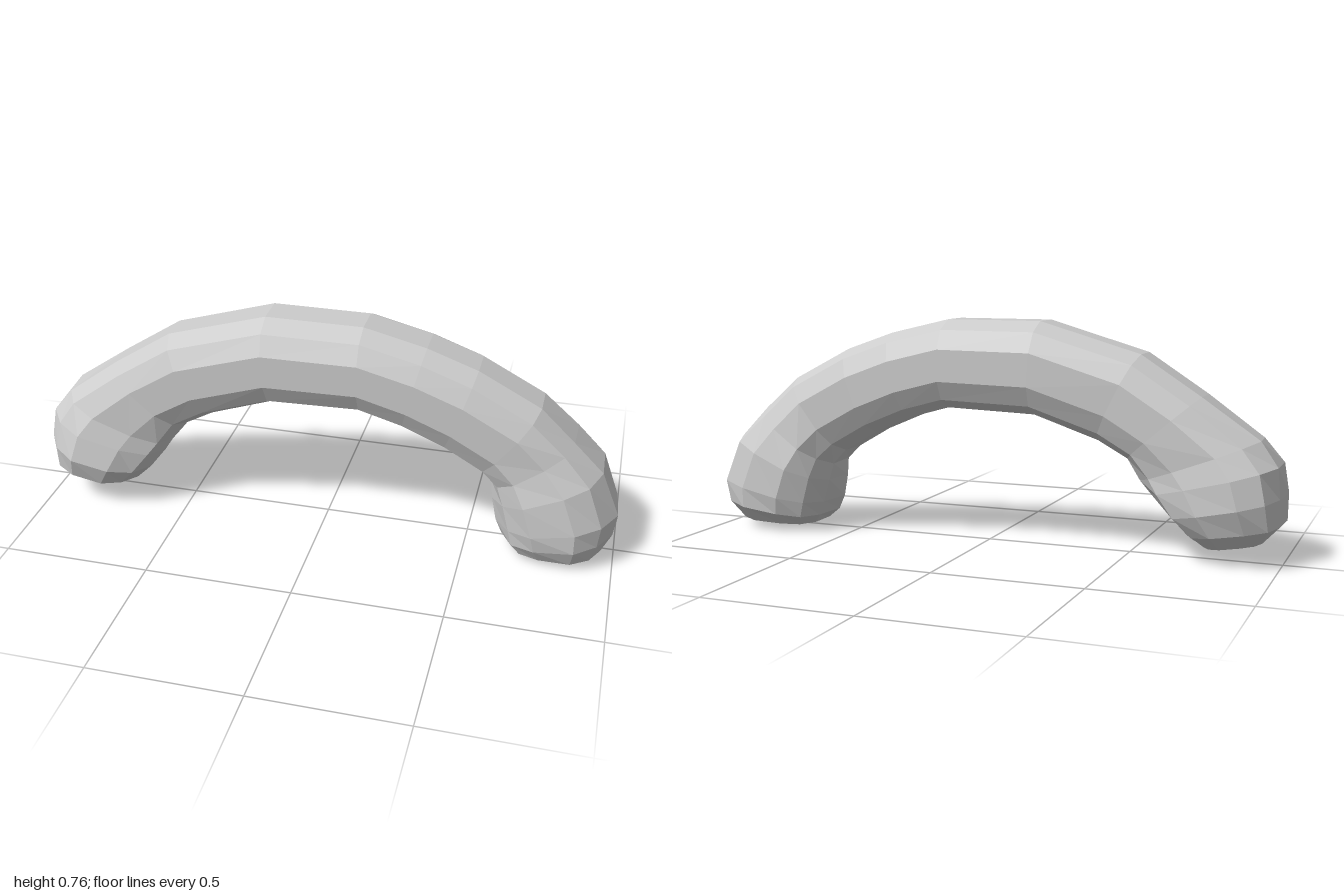
import * as THREE from 'three';

const SIDES = 12;

// Cross-sections along the arch: outer x, y, inner x, y, back z, front z
const SECTIONS = [
  [-0.94, 0.07, -0.75, 0.04, -0.08, 0.10],
  [-1.00, 0.13, -0.69, 0.08, -0.14, 0.18],
  [-1.00, 0.22, -0.63, 0.14, -0.17, 0.21],
  [-0.99, 0.32, -0.57, 0.21, -0.165, 0.19],
  [-0.93, 0.40, -0.54, 0.25, -0.15, 0.17],
  [-0.74, 0.53, -0.50, 0.32, -0.145, 0.155],
  [-0.54, 0.66, -0.40, 0.375, -0.145, 0.155],
  [-0.20, 0.76, -0.18, 0.45, -0.155, 0.155],
  [0.13, 0.76, 0.13, 0.46, -0.155, 0.155],
  [0.34, 0.71, 0.27, 0.42, -0.155, 0.155],
  [0.51, 0.65, 0.41, 0.36, -0.155, 0.155],
  [0.72, 0.54, 0.53, 0.29, -0.155, 0.155],
  [0.84, 0.43, 0.57, 0.24, -0.18, 0.16],
  [0.94, 0.33, 0.58, 0.18, -0.205, 0.18],
  [1.00, 0.18, 0.60, 0.10, -0.21, 0.19],
  [0.99, 0.10, 0.62, 0.05, -0.20, 0.185],
  [0.96, 0.03, 0.66, 0.015, -0.14, 0.16],
];
const TIPS = [[-0.85, 0.045, 0.01], [0.77, 0.0, 0.03]];

// Rounded-square profile that still reaches its full extent on each axis
const rounded = (v) => Math.sign(v) * Math.abs(v) ** 0.78 / Math.cos(Math.PI / SIDES) ** 0.78;

function archGeometry() {
  const positions = [];
  const index = [];
  SECTIONS.forEach(([ox, oy, ix, iy, z0, z1], s) => {
    const knob = Math.abs(ox) > 0.8;
    for (let j = 0; j < SIDES; j++) {
      const a = ((j + 0.5) / SIDES) * Math.PI * 2;
      // Slight hand-hewn unevenness on the knobs
      const k = knob ? 1 - 0.025 * (1 + Math.sin(s * 5.3 + j * 3.7)) : 1;
      const u = rounded(Math.cos(a)) * k;
      const w = rounded(Math.sin(a)) * k;
      positions.push(
        (ox + ix) / 2 + (u * (ox - ix)) / 2,
        (oy + iy) / 2 + (u * (oy - iy)) / 2,
        (z0 + z1) / 2 + (w * (z1 - z0)) / 2,
      );
    }
  });
  TIPS.forEach((p) => positions.push(...p));

  const last = (SECTIONS.length - 1) * SIDES;
  const startTip = SECTIONS.length * SIDES;
  for (let j = 0; j < SIDES; j++) {
    const n = (j + 1) % SIDES;
    for (let r = 0; r < last; r += SIDES) {
      index.push(r + j, r + n, r + SIDES + j, r + n, r + SIDES + n, r + SIDES + j);
    }
    // Close both ends
    index.push(startTip, n, j, startTip + 1, last + j, last + n);
  }
  const geometry = new THREE.BufferGeometry();
  geometry.setAttribute('position', new THREE.Float32BufferAttribute(positions, 3));
  geometry.setIndex(index);
  geometry.computeVertexNormals();
  return geometry;
}

export function createModel() {
  const group = new THREE.Group();
  group.name = 'curvedHandle';
  const material = new THREE.MeshStandardMaterial({ color: 0xcccccc, flatShading: true });
  const arch = new THREE.Mesh(archGeometry(), material);
  arch.name = 'archWithKnobEnds';
  group.add(arch);
  return group;
}
